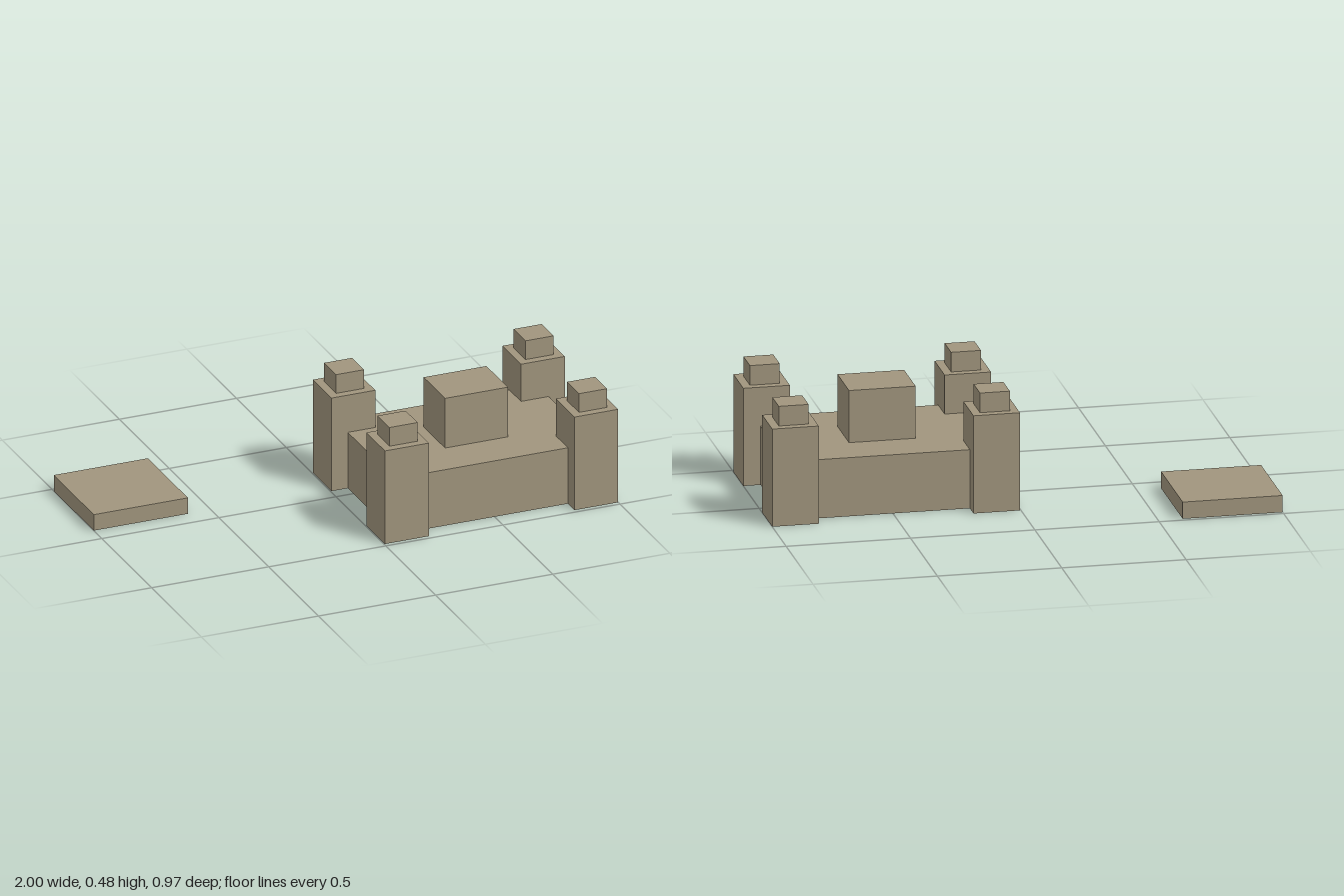
import * as THREE from 'three';

const stone = new THREE.MeshStandardMaterial({ color: 0xa0957d, flatShading: true, side: THREE.DoubleSide });

// Hollow block without a floor, standing on height y
function block(name, w, h, d, x, y, z) {
  const geometry = new THREE.BoxGeometry(w, h, d);
  const index = Array.from(geometry.index.array);
  index.splice(18, 6); // drop the bottom face
  geometry.setIndex(index);
  geometry.clearGroups();
  const mesh = new THREE.Mesh(geometry, stone);
  mesh.name = name;
  mesh.position.set(x, y + h / 2, z);
  return mesh;
}

// Corner tower with a smaller turret on top
function tower(name, x, z) {
  const group = new THREE.Group();
  group.name = name;
  group.add(
    block('towerShaft', 0.187, 0.403, 0.187, 0, 0, 0),
    block('towerTurret', 0.12, 0.081, 0.12, 0, 0.403, 0)
  );
  group.position.set(x, 0, z);
  return group;
}

export function createModel() {
  const model = new THREE.Group();
  model.name = 'fortress';

  const cx = 0.502, cz = 0.12;

  // Main body and central keep
  model.add(block('mainHall', 0.857, 0.242, 0.59, cx, 0, cz + 0.001));
  model.add(block('keep', 0.268, 0.215, 0.215, cx, 0.242, cz + 0.002));

  // Four corner towers
  for (const sx of [-1, 1]) {
    for (const sz of [-1, 1]) {
      const name = (sz > 0 ? 'front' : 'back') + (sx > 0 ? 'Left' : 'Right') + 'Tower';
      model.add(tower(name, cx + sx * 0.4045, cz + sz * 0.2685));
    }
  }

  // Separate low slab
  model.add(block('slab', 0.402, 0.069, 0.402, -0.799, 0, -0.282));

  return model;
}
